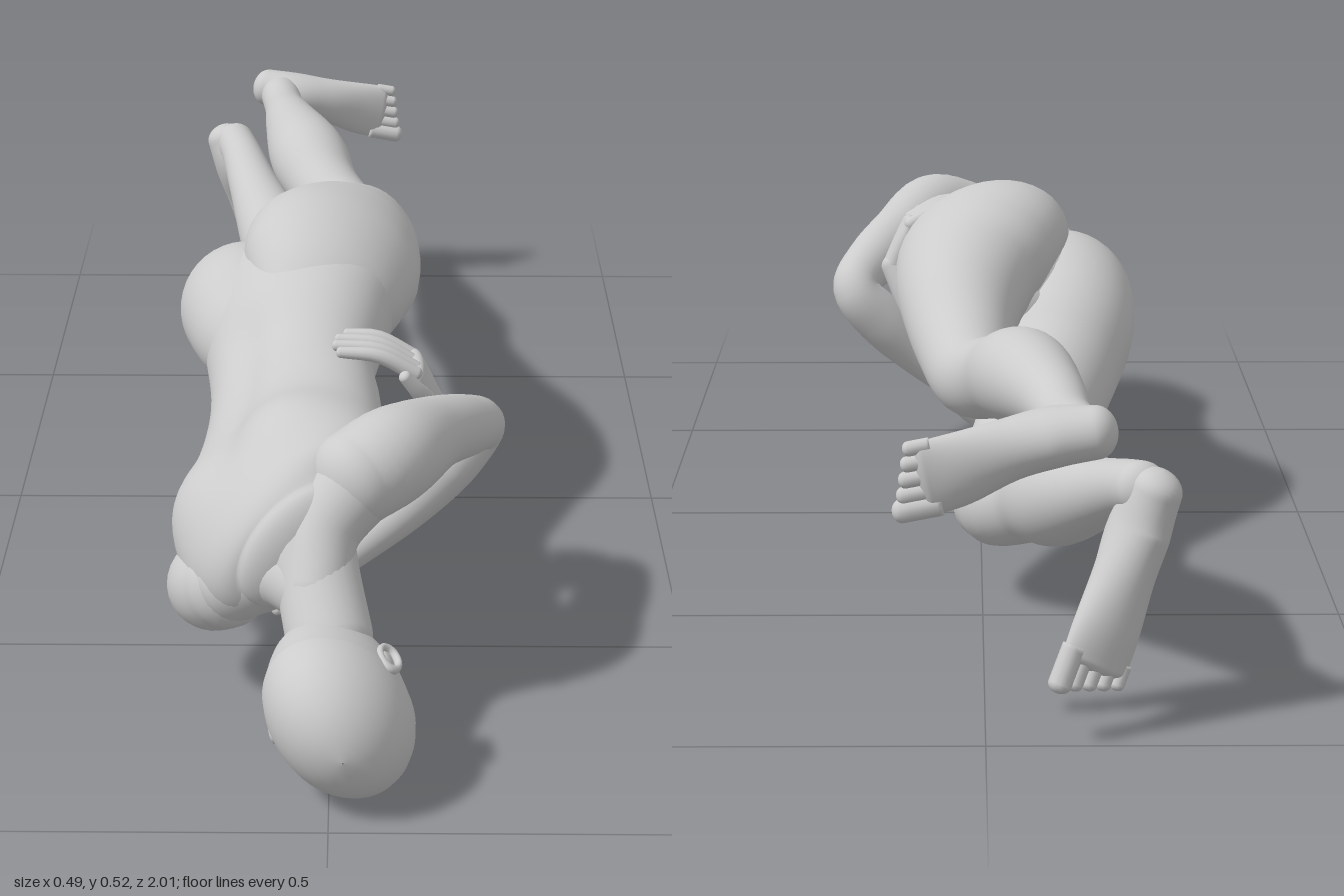
import * as THREE from 'three';

const V = (a) => new THREE.Vector3(...a);
const material = new THREE.MeshStandardMaterial({ color: 0xcccccc });

// Smooth tube with elliptical rings and domed ends.
// rows: [x, y, z, radiusA, radiusB?]; refs: direction of radiusA at the start and end;
// bumps: [position, radius, amount] swell or dent the surface softly.
function loft(name, rows, refs = [[1, 0, 0]], { sides = 28, steps = 6, dome = 0.8, bumps = [] } = {}) {
  const path = new THREE.CatmullRomCurve3(rows.map((r) => V(r)), false, 'catmullrom', 0.5);
  const radii = new THREE.CatmullRomCurve3(rows.map((r) => V([r[3], r[4] ?? r[3], 0])), false, 'catmullrom', 0.5);
  const n = (rows.length - 1) * steps, caps = 8;
  const rings = [];
  const cap = (k, u, sign) => [u, sign * Math.cos((k / caps) * Math.PI / 2), Math.max(0.01, Math.sin((k / caps) * Math.PI / 2))];
  for (let k = 0; k < caps; k++) rings.push(cap(k, 0, -1));
  for (let i = 0; i <= n; i++) rings.push([i / n, 0, 1]);
  for (let k = caps - 1; k >= 0; k--) rings.push(cap(k, 1, 1));

  const positions = [], index = [];
  rings.forEach(([u, push, scale], i) => {
    const t = path.getTangent(u), r = radii.getPoint(u);
    const a = V(refs[0]).lerp(V(refs[refs.length - 1]), u);
    a.addScaledVector(t, -a.dot(t)).normalize();
    const b = t.clone().cross(a);
    const c = path.getPoint(u).addScaledVector(t, push * Math.min(r.x, r.y) * dome);
    for (let j = 0; j < sides; j++) {
      const w = (j / sides) * Math.PI * 2;
      const p = c.clone().addScaledVector(a, Math.cos(w) * r.x * scale).addScaledVector(b, Math.sin(w) * r.y * scale);
      const out = p.clone().sub(c).normalize();
      const swell = bumps.reduce((sum, [at, size, amount]) => sum + amount * Math.exp(-p.distanceToSquared(V(at)) / (size * size)), 0);
      p.addScaledVector(out, swell);
      positions.push(p.x, p.y, p.z);
      if (i + 1 < rings.length) {
        const k = (j + 1) % sides, p0 = i * sides, p1 = p0 + sides;
        index.push(p0 + j, p0 + k, p1 + j, p0 + k, p1 + k, p1 + j);
      }
    }
  });
  const g = new THREE.BufferGeometry();
  g.setAttribute('position', new THREE.Float32BufferAttribute(positions, 3));
  g.setIndex(index);
  g.computeVertexNormals();
  const mesh = new THREE.Mesh(g, material);
  mesh.name = name;
  return mesh;
}

function ellipsoid(name, pos, size) {
  const mesh = new THREE.Mesh(new THREE.SphereGeometry(1, 24, 16), material);
  mesh.name = name;
  mesh.position.set(...pos);
  mesh.scale.set(...size);
  return mesh;
}

// Foot body plus five toes; bigSide is the sign of the big toe along width
function foot(name, rows, width, dir, bigSide) {
  const group = new THREE.Group();
  group.name = name;
  group.add(loft(name + 'Body', rows, [width]));
  const w = V(width).normalize().multiplyScalar(bigSide), d = V(dir).normalize();
  const ball = V(rows[rows.length - 1]);
  for (let i = 0; i < 5; i++) {
    const r = i === 0 ? 0.015 : 0.0115 - i * 0.0005;
    const base = ball.clone().addScaledVector(w, 0.036 - i * 0.0195).addScaledVector(d, -0.01);
    const tip = base.clone().addScaledVector(d, 0.05 - i * 0.006);
    group.add(loft('toe', [[...base, r], [...tip, r]], [width], { sides: 12 }));
  }
  return group;
}

// Palm, four fingers and a thumb; thumbSide is the sign along width
function hand(name, wrist, knuckle, middle, tip, width, thumbSide) {
  const group = new THREE.Group();
  group.name = name;
  const w = V(width).normalize();
  const palmMid = V(wrist).lerp(V(knuckle), 0.55);
  group.add(loft('palm', [[...wrist, 0.026, 0.021], [...palmMid, 0.038, 0.018], [...knuckle, 0.042, 0.014]], [width]));
  for (let i = 0; i < 4; i++) {
    const side = (i - 1.5) * 0.021 * thumbSide, reach = [0.75, 0.95, 1, 0.9][i];
    const at = (p, spread) => V(p).addScaledVector(w, side * spread);
    const a = at(knuckle, 1), b = at(middle, 1.1), c = b.clone().lerp(at(tip, 1.15), reach);
    group.add(loft('finger', [[...a, 0.0115], [...b, 0.0105], [...c, 0.008]], [width], { sides: 12, steps: 4 }));
  }
  const t0 = V(wrist).lerp(V(knuckle), 0.25).addScaledVector(w, 0.02 * thumbSide);
  const t1 = V(knuckle).lerp(V(wrist), 0.35).addScaledVector(w, 0.052 * thumbSide);
  const t2 = V(knuckle).lerp(V(middle), 0.3).addScaledVector(w, 0.062 * thumbSide);
  group.add(loft('thumb', [[...t0, 0.015], [...t1, 0.013], [...t2, 0.009]], [[0, 1, 0.3]], { sides: 12, steps: 4 }));
  return group;
}

// Head in its own axes: x to its left, y to the crown, z forward
function buildHead() {
  const head = new THREE.Group();
  head.name = 'head';
  const roll = THREE.MathUtils.degToRad(34), c = Math.cos(roll), s = Math.sin(roll);
  head.applyMatrix4(new THREE.Matrix4().makeBasis(V([c, s, 0]), V([0, 0, 1]), V([s, -c, 0])).setPosition(0.013, 0.108, 0.87));
  head.add(loft('skull', [
    [0, -0.145, 0.014, 0.016, 0.024], [0, -0.13, 0.006, 0.038, 0.05], [0, -0.095, -0.005, 0.062, 0.081],
    [0, -0.05, -0.005, 0.08, 0.102], [0, 0.01, 0, 0.09, 0.116],
  ], [[1, 0, 0]], {
    sides: 56, steps: 10, dome: 1.33,
    bumps: [[[0.034, -0.052, 0.085], 0.02, -0.008], [[-0.034, -0.052, 0.085], 0.02, -0.008], [[0, -0.138, 0.055], 0.025, 0.006]],
  }));
  head.add(loft('nose', [[0, -0.045, 0.089, 0.008], [0, -0.066, 0.09, 0.009], [0, -0.085, 0.089, 0.013, 0.011]], [[1, 0, 0]], { sides: 16 }));
  head.add(ellipsoid('upperLip', [0, -0.109, 0.066], [0.022, 0.005, 0.01]));
  head.add(ellipsoid('lowerLip', [0, -0.118, 0.06], [0.019, 0.006, 0.01]));
  for (const side of [-1, 1]) {
    head.add(ellipsoid('eye', [side * 0.033, -0.052, 0.073], [0.015, 0.007, 0.009]));
    const rim = new THREE.Mesh(new THREE.TorusGeometry(0.02, 0.006, 10, 24), material);
    rim.name = 'earRim';
    rim.scale.set(0.75, 1.25, 1);
    rim.position.set(side * 0.089, -0.01, -0.018);
    rim.rotation.y = side * (Math.PI / 2 + 0.35);
    head.add(rim, ellipsoid('earBowl', [side * 0.083, -0.01, -0.015], [0.008, 0.022, 0.014]));
  }
  return head;
}

export function createModel() {
  const model = new THREE.Group();
  model.name = 'recliningFigure';

  // Spine groove, shoulder blades and chest muscles
  const bumps = [
    [[-0.072, 0.385, 0.58], 0.075, 0.02], [[-0.185, 0.265, 0.58], 0.075, 0.022],
    [[0.064, 0.253, 0.58], 0.06, 0.016], [[-0.038, 0.143, 0.58], 0.06, 0.016],
  ];
  for (let i = 0; i < 9; i++) bumps.push([[-0.14 + i * 0.002, 0.335 + i * 0.006, 0.6 - i * 0.045], 0.04, -0.007]);

  // Trunk, twisting from the shoulders to the hips
  model.add(loft('torso', [
    [-0.042, 0.266, 0.72, 0.1, 0.066], [-0.055, 0.268, 0.68, 0.148, 0.087], [-0.063, 0.268, 0.61, 0.167, 0.101],
    [-0.062, 0.27, 0.5, 0.158, 0.106], [-0.058, 0.285, 0.38, 0.14, 0.102], [-0.06, 0.304, 0.28, 0.13, 0.1],
    [-0.056, 0.334, 0.17, 0.148, 0.116], [-0.05, 0.352, 0.06, 0.168, 0.122], [-0.045, 0.34, -0.03, 0.14, 0.1],
    [-0.043, 0.33, -0.08, 0.095, 0.065],
  ], [[0.68, 0.73, 0], [0.84, 0.54, 0]], { sides: 64, steps: 10, dome: 0.5, bumps }));
  model.add(loft('neck', [[-0.045, 0.275, 0.68, 0.085, 0.068], [-0.02, 0.235, 0.735, 0.059, 0.057], [0, 0.17, 0.8, 0.057]], [[0.75, 0.66, 0]]));
  model.add(loft('leftNeckSlope', [[-0.018, 0.225, 0.765, 0.043], [-0.008, 0.287, 0.716, 0.05], [0.04, 0.348, 0.68, 0.06]]));
  model.add(loft('rightNeckSlope', [[-0.018, 0.215, 0.765, 0.043], [-0.07, 0.225, 0.712, 0.05], [-0.13, 0.19, 0.67, 0.058]], [[0, 1, 0]]));
  model.add(buildHead());

  // Legs, from the buttocks down to the ankles
  model.add(loft('leftLeg', [
    [-0.03, 0.375, 0.2, 0.085, 0.06], [-0.015, 0.398, 0.13, 0.12, 0.09], [-0.006, 0.411, 0.05, 0.137, 0.103],
    [0.01, 0.404, -0.03, 0.127, 0.102], [0.024, 0.388, -0.1, 0.107, 0.096], [0.03, 0.366, -0.2, 0.086],
    [0.026, 0.343, -0.3, 0.071], [0.013, 0.326, -0.42, 0.058], [-0.022, 0.345, -0.5, 0.058], [-0.053, 0.37, -0.6, 0.066],
    [-0.085, 0.38, -0.75, 0.047], [-0.1, 0.378, -0.85, 0.036], [-0.11, 0.382, -0.92, 0.035],
  ], [[0.9, -0.42, 0]], { sides: 40 }));
  model.add(loft('rightLeg', [
    [-0.1, 0.33, 0.2, 0.075, 0.062], [-0.122, 0.337, 0.13, 0.092, 0.085], [-0.134, 0.338, 0.05, 0.102, 0.1],
    [-0.132, 0.303, -0.03, 0.102, 0.106], [-0.114, 0.257, -0.1, 0.096, 0.1], [-0.085, 0.213, -0.2, 0.087],
    [-0.05, 0.175, -0.3, 0.074], [-0.018, 0.142, -0.42, 0.06], [-0.07, 0.168, -0.5, 0.059], [-0.103, 0.2, -0.6, 0.065],
    [-0.15, 0.252, -0.75, 0.046], [-0.178, 0.288, -0.85, 0.036], [-0.194, 0.302, -0.9, 0.034],
  ], [[0.84, 0.54, 0]], { sides: 40 }));
  model.add(foot('leftFoot', [
    [-0.135, 0.388, -0.955, 0.033, 0.035], [-0.085, 0.38, -0.945, 0.037, 0.046], [-0.03, 0.366, -0.951, 0.039, 0.038],
    [0.03, 0.346, -0.966, 0.047, 0.026], [0.07, 0.336, -0.974, 0.049, 0.016],
  ], [-0.19, -0.97, 0.1], [0.97, -0.18, -0.04], 1));
  model.add(foot('rightFoot', [
    [-0.212, 0.303, -0.912, 0.033, 0.036], [-0.192, 0.25, -0.905, 0.037, 0.05], [-0.172, 0.195, -0.925, 0.04, 0.038],
    [-0.15, 0.135, -0.951, 0.047, 0.026], [-0.135, 0.097, -0.968, 0.048, 0.016],
  ], [-0.81, -0.45, 0.36], [0.35, -0.87, -0.25], -1));

  // Left arm folds down across the front, right arm folds up over the side
  model.add(loft('leftArm', [
    [0.03, 0.345, 0.685, 0.065], [0.082, 0.36, 0.64, 0.066], [0.135, 0.342, 0.53, 0.052], [0.18, 0.315, 0.44, 0.045],
    [0.207, 0.282, 0.366, 0.038], [0.165, 0.228, 0.37, 0.043], [0.1, 0.162, 0.385, 0.036], [0.0, 0.078, 0.4, 0.025],
  ]));
  model.add(loft('rightArm', [
    [-0.14, 0.18, 0.665, 0.06], [-0.16, 0.155, 0.61, 0.064], [-0.125, 0.125, 0.51, 0.051], [-0.075, 0.102, 0.4, 0.045],
    [-0.025, 0.083, 0.322, 0.038], [0.025, 0.127, 0.322, 0.043], [0.08, 0.21, 0.35, 0.037], [0.14, 0.32, 0.385, 0.025],
  ], [[0, 1, 0]]));
  model.add(hand('leftHand', [0, 0.078, 0.4], [-0.08, 0.042, 0.425], [-0.12, 0.043, 0.438], [-0.165, 0.068, 0.455], [0.2, 0.15, 0.97], 1));
  model.add(hand('rightHand', [0.14, 0.32, 0.385], [0.115, 0.39, 0.4], [0.065, 0.418, 0.4], [0.005, 0.423, 0.395], [0, 0, 1], 1));
  return model;
}
